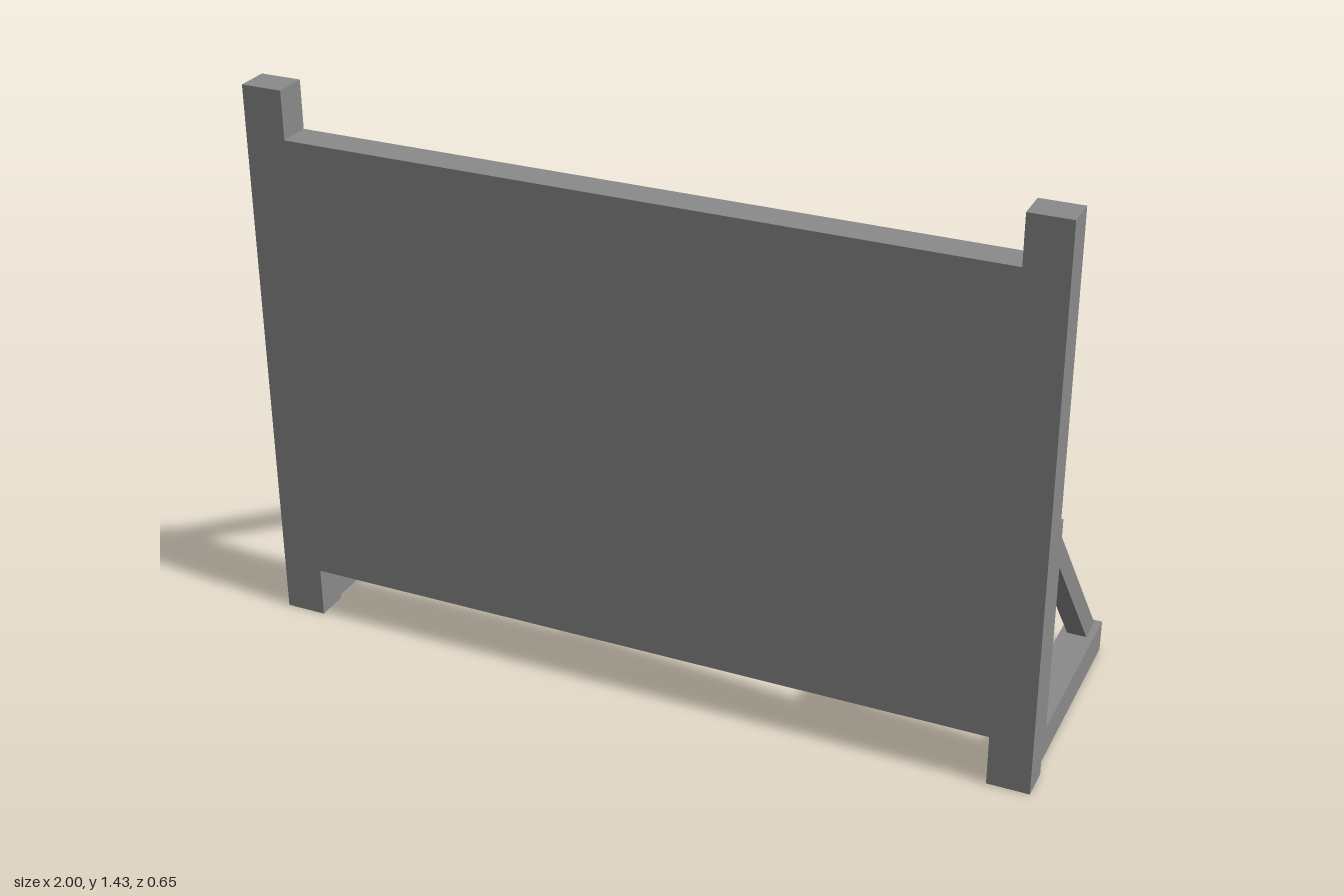
import * as THREE from 'three';

const material = new THREE.MeshStandardMaterial({ color: 0x8a8a8a, flatShading: true });

// Box given by its min and max corners
function box(name, [x0, y0, z0], [x1, y1, z1]) {
  const mesh = new THREE.Mesh(new THREE.BoxGeometry(x1 - x0, y1 - y0, z1 - z0), material);
  mesh.position.set((x0 + x1) / 2, (y0 + y1) / 2, (z0 + z1) / 2);
  mesh.name = name;
  return mesh;
}

// Slanted brace: side profile in (z, y), extruded along x
function brace(name, x, width) {
  const profile = [[0.173, 0.64], [0.173, 0.56], [-0.242, 0.083], [-0.316, 0.083]];
  // shape x holds -z, so that a quarter turn about y lays the profile in the z-y plane
  const shape = new THREE.Shape(profile.map(([z, y]) => new THREE.Vector2(-z, y)));
  const geometry = new THREE.ExtrudeGeometry(shape, { depth: width, bevelEnabled: false });
  geometry.translate(0, 0, -width / 2).rotateY(Math.PI / 2);
  const mesh = new THREE.Mesh(geometry, material);
  mesh.position.x = x;
  mesh.name = name;
  return mesh;
}

export function createModel() {
  const model = new THREE.Group();
  model.name = 'standingBoard';

  // Board between the posts
  model.add(box('panel', [-0.895, 0.13, 0.243], [0.895, 1.308, 0.327]));

  for (const [side, s] of [['left', 1], ['right', -1]]) {
    // Post at the end of the board
    const px = s * 0.9475;
    model.add(box(side + 'Post', [px - 0.0525, 0, 0.243], [px + 0.0525, 1.431, 0.327]));

    // Triangular rear support
    const support = new THREE.Group();
    support.name = side + 'Support';
    const x = s * 0.946, h = 0.042;
    support.add(
      box(side + 'Upright', [x - h, 0, 0.173], [x + h, 0.647, 0.243]),
      box(side + 'Foot', [x - h, 0, -0.327], [x + h, 0.083, 0.173]),
      brace(side + 'Brace', x, 0.049)
    );
    model.add(support);
  }
  return model;
}
